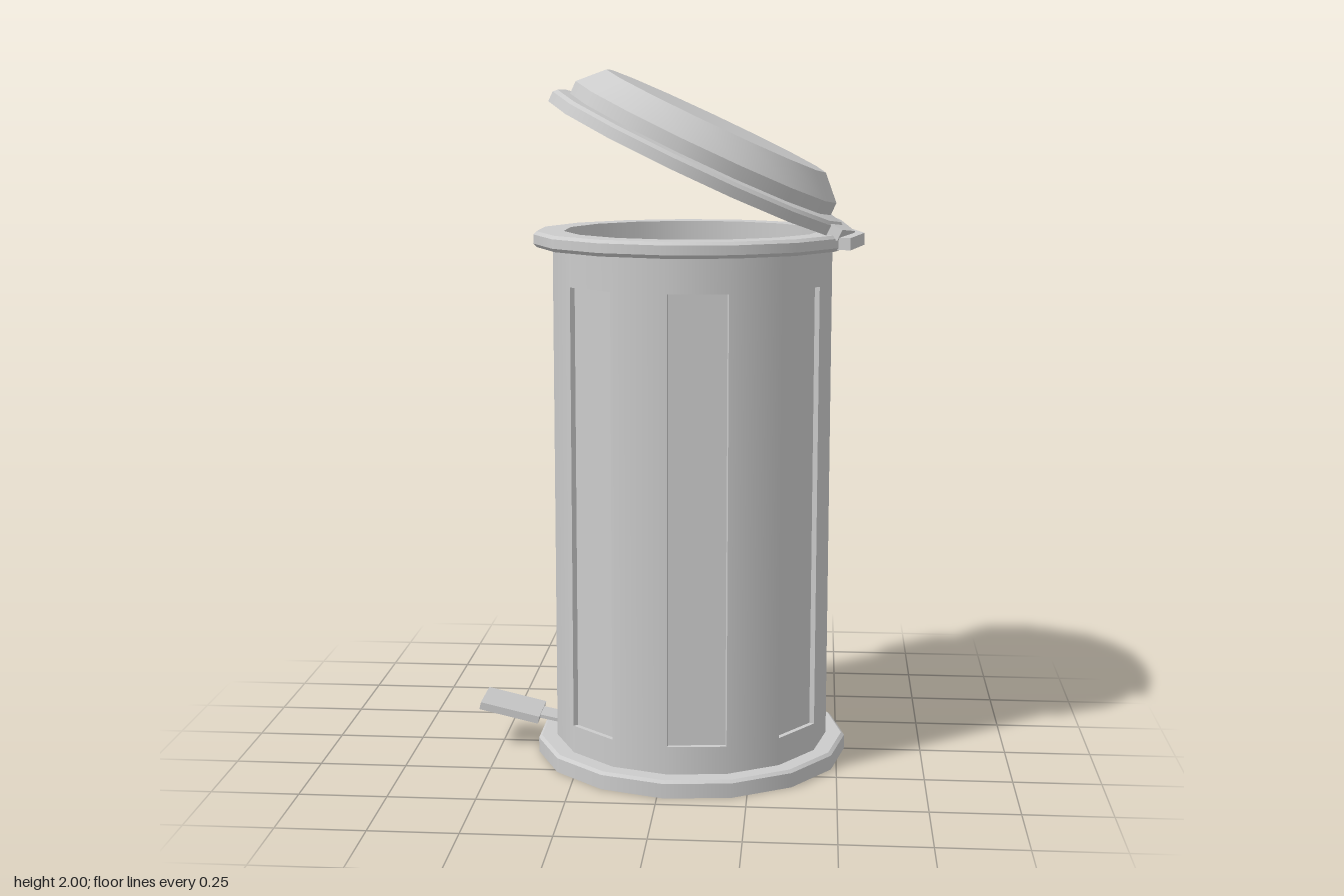
import * as THREE from 'three';
import { mergeGeometries } from 'three/addons/utils/BufferGeometryUtils.js';

const SIDES = 15;
const STEP = (Math.PI * 2) / SIDES;
const AXIS_X = 0.067;
const TILT = THREE.MathUtils.degToRad(25);

const material = new THREE.MeshStandardMaterial({ color: 0xcccccc });
const thinMaterial = new THREE.MeshStandardMaterial({ color: 0xcccccc, side: THREE.DoubleSide });

function add(parent, name, geometry, mat = material) {
  const mesh = new THREE.Mesh(geometry, mat);
  mesh.name = name;
  parent.add(mesh);
  return mesh;
}

// Turned band: smooth around the axis, sharp between profile steps.
// Facets are counted from the +x corner.
function turned(profile, first = 0, count = SIDES) {
  const bands = [];
  for (let i = 0; i + 1 < profile.length; i++) {
    const pair = [profile[i], profile[i + 1]].map(([r, y]) => new THREE.Vector2(r, y));
    bands.push(new THREE.LatheGeometry(pair, count, Math.PI / 2 + first * STEP, count * STEP));
  }
  return mergeGeometries(bands);
}

// Two-facet tongue that sticks out from a rim on the +x side
function hingeTab(inner, outer, height) {
  const at = (r, k) => new THREE.Vector2(r * Math.cos(k * STEP), r * Math.sin(k * STEP));
  const shape = new THREE.Shape([
    at(inner, -1), at(outer, -1), at(outer, 0), at(outer, 1), at(inner, 1), at(inner, 0),
  ]);
  const geometry = new THREE.ExtrudeGeometry(shape, { depth: height, bevelEnabled: false });
  return geometry.rotateX(-Math.PI / 2);
}

function createBody() {
  const body = new THREE.Group();
  body.name = 'body';
  const R = 0.402, r = 0.387, low = 0.13, high = 1.4;

  add(body, 'lowerBand', turned([[R, 0.05], [R, low]]));
  add(body, 'upperBand', turned([[R, high], [R, 1.5]]));

  // Plain strips alternate with recessed panels
  for (let k = 0; k < SIDES; k++) {
    if (k % 2 === 0) {
      add(body, 'plainStrip', turned([[R, low], [R, high]], k, 1));
      continue;
    }
    const recess = turned([[R, low], [r, low], [r, high], [R, high]], k, 1).toNonIndexed();
    recess.computeVertexNormals();
    add(body, 'recessedPanel', recess);
    for (const edge of [k, k + 1]) {
      const wall = new THREE.PlaneGeometry(R - r, high - low);
      wall.translate((R + r) / 2, (high + low) / 2, 0).rotateY(edge * STEP);
      add(body, 'panelSideWall', wall, thinMaterial);
    }
  }
  return body;
}

function createLid() {
  const lid = new THREE.Group();
  lid.name = 'lid';
  // Flange, upright wall and sloped crown
  add(lid, 'lidShell', turned([
    [0.37, 0], [0.457, 0], [0.457, 0.03], [0.446, 0.04], [0.41, 0.045],
    [0.41, 0.083], [0.345, 0.148], [0, 0.148],
  ]));
  // Hollow underside
  add(lid, 'lidInside', turned([[0, 0.13], [0.33, 0.13], [0.37, 0.075], [0.37, 0]]));
  add(lid, 'lidHingeTab', hingeTab(0.43, 0.493, 0.034));
  lid.position.set(0.005, 1.721, 0);
  lid.rotation.z = -TILT;
  return lid;
}

function createPedal() {
  const pedal = new THREE.Group();
  pedal.name = 'pedal';
  const plate = add(pedal, 'pedalPlate', new THREE.BoxGeometry(0.18, 0.022, 0.15));
  plate.position.set(-0.472, 0.109, 0);
  plate.rotation.z = -0.23;
  const arm = add(pedal, 'pedalArm', new THREE.BoxGeometry(0.09, 0.01, 0.08));
  arm.position.set(-0.355, 0.084, 0);
  arm.rotation.z = -0.2;
  return pedal;
}

export function createModel() {
  const model = new THREE.Group();
  model.name = 'pedalBin';

  const can = new THREE.Group();
  can.name = 'can';
  can.position.x = AXIS_X;
  model.add(can);

  add(can, 'base', turned([
    [0, 0], [0.457, 0], [0.457, 0.042], [0.448, 0.05], [0.39, 0.05],
  ]));
  can.add(createBody());
  // Rim continues down into the inner wall and floor
  add(can, 'rim', turned([
    [0.39, 1.5], [0.448, 1.5], [0.457, 1.51], [0.457, 1.536], [0.448, 1.545], [0.37, 1.545],
  ]));
  add(can, 'innerWall', turned([[0.37, 1.545], [0.37, 0.06], [0, 0.06]]));
  const rimTab = add(can, 'rimHingeTab', hingeTab(0.43, 0.493, 0.034));
  rimTab.position.y = 1.505;
  can.add(createLid());

  model.add(createPedal());
  return model;
}
